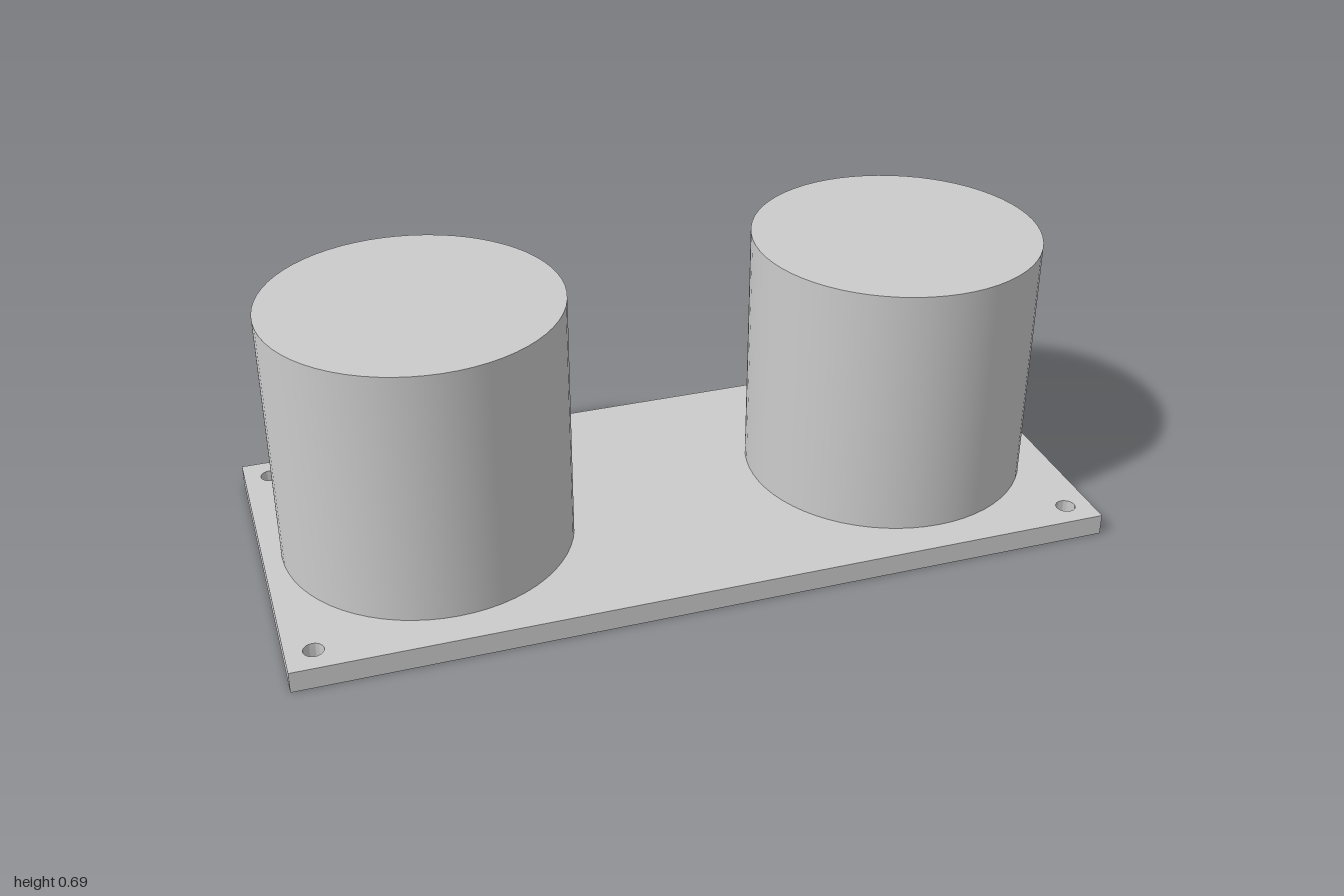
import * as THREE from 'three';
import { toCreasedNormals } from 'three/addons/utils/BufferGeometryUtils.js';

const HALF_W = 1, HALF_D = 0.443, PLATE_H = 0.053;
const HOLE_X = 0.935, HOLE_Z = 0.377, HOLE_R = 0.024;
const DRUM_X = 0.6, DRUM_R = 0.355, TOP = 0.685;

export function createModel() {
  const group = new THREE.Group();
  const material = new THREE.MeshStandardMaterial({ color: 0xcccccc });

  // Base plate with a screw hole through each corner
  const outline = new THREE.Shape([
    new THREE.Vector2(-HALF_W, -HALF_D),
    new THREE.Vector2(HALF_W, -HALF_D),
    new THREE.Vector2(HALF_W, HALF_D),
    new THREE.Vector2(-HALF_W, HALF_D),
  ]);
  for (const sx of [-1, 1]) {
    for (const sz of [-1, 1]) {
      const hole = new THREE.Path();
      hole.absarc(sx * HOLE_X, sz * HOLE_Z, HOLE_R, 0, Math.PI * 2, true);
      outline.holes.push(hole);
    }
  }
  const plateGeometry = new THREE.ExtrudeGeometry(outline, {
    depth: PLATE_H, bevelEnabled: false, curveSegments: 16,
  });
  plateGeometry.rotateX(-Math.PI / 2);
  const plate = new THREE.Mesh(toCreasedNormals(plateGeometry, 0.6), material);
  plate.name = 'basePlate';
  group.add(plate);

  // Two solid drums standing on the plate
  const height = TOP - PLATE_H;
  const drumGeometry = new THREE.CylinderGeometry(DRUM_R, DRUM_R, height, 64);
  for (const [name, side] of [['leftDrum', 1], ['rightDrum', -1]]) {
    const drum = new THREE.Mesh(drumGeometry, material);
    drum.name = name;
    drum.position.set(side * DRUM_X, PLATE_H + height / 2, 0);
    group.add(drum);
  }

  return group;
}
